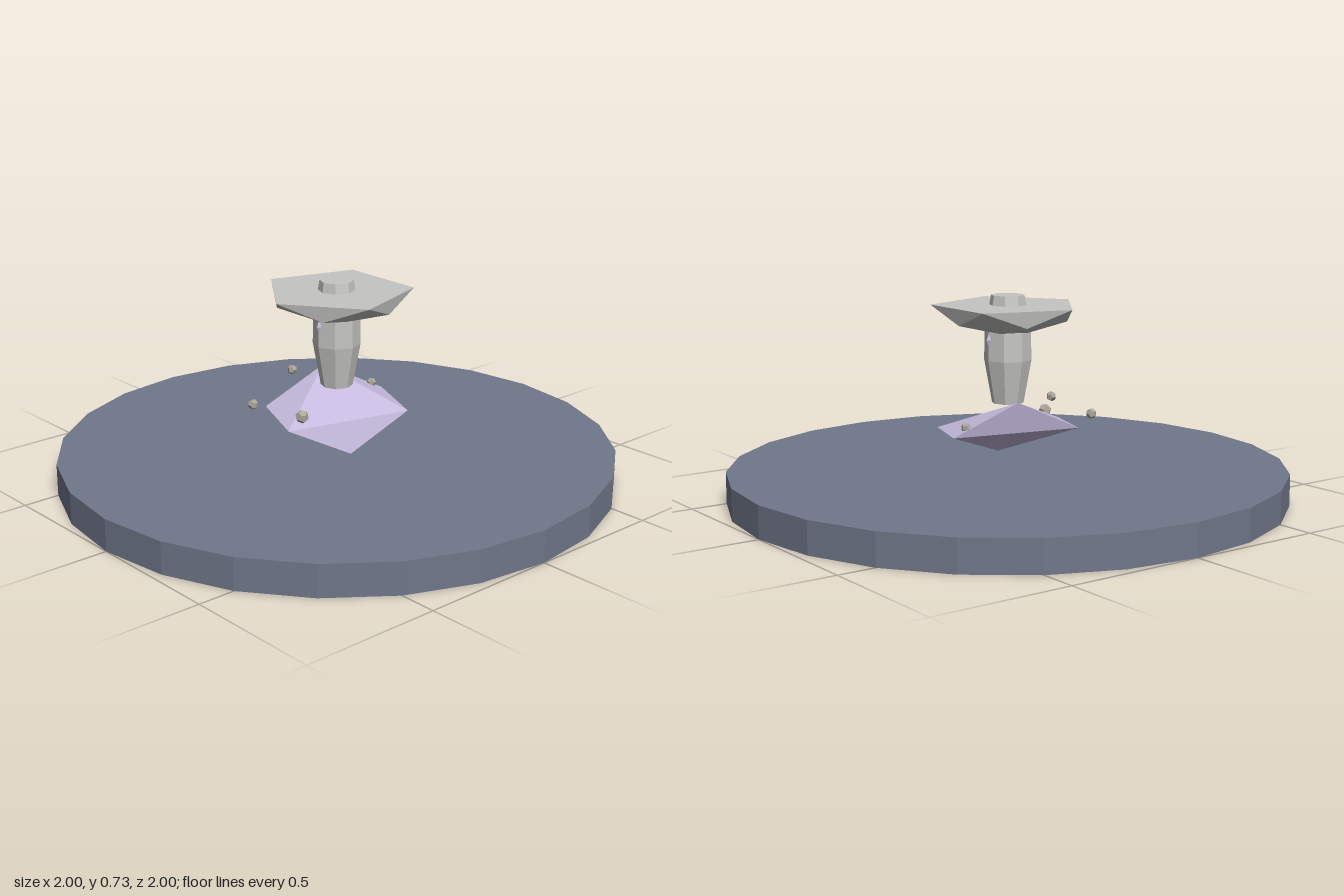
import * as THREE from 'three';
import { ConvexGeometry } from 'three/addons/geometries/ConvexGeometry.js';

const material = (name, color) => {
  const m = new THREE.MeshStandardMaterial({ color, flatShading: true });
  m.name = name;
  return m;
};

// Points of a horizontal ring; angle 0 is +x
const ring = (sides, radius, y, turn = 0) =>
  Array.from({ length: sides }, (_, i) => {
    const a = turn + (i / sides) * Math.PI * 2;
    return new THREE.Vector3(radius * Math.cos(a), y, radius * Math.sin(a));
  });

export function createModel() {
  const slate = material('slate blue', 0x70778a);
  const stone = material('pale stone', 0xc4c4c2);
  const lilac = material('lilac crystal', 0xc6bbde);
  const pebble = material('pebble grey', 0xa8a496);

  const model = new THREE.Group();
  model.name = 'floatingPedestal';
  const add = (name, geometry, mat, x = 0, y = 0, z = 0) => {
    const mesh = new THREE.Mesh(geometry, mat);
    mesh.name = name;
    mesh.position.set(x, y, z);
    model.add(mesh);
    return mesh;
  };

  // Round ground disc
  add('groundDisc', new THREE.CylinderGeometry(1, 1, 0.115, 24), slate, 0, 0.0575, 0);

  // Tilted crystal: a skewed octahedron made of three opposite corner pairs
  const centre = new THREE.Vector3(0, 0.253, 0);
  const corners = [];
  for (const [x, y, z] of [[0.275, 0.003, -0.06], [0.06, 0.117, -0.143], [0.185, -0.005, 0.175]]) {
    const arm = new THREE.Vector3(x, y, z);
    corners.push(centre.clone().add(arm), centre.clone().sub(arm));
  }
  add('crystal', new ConvexGeometry(corners), lilac);

  // Eight-sided column, bulging in the middle and poking through the slab
  const profile = [[0, 0.345], [0.057, 0.345], [0.085, 0.5], [0.083, 0.6], [0.066, 0.695], [0.06, 0.73], [0, 0.73]];
  add('column', new THREE.LatheGeometry(profile.map(([r, y]) => new THREE.Vector2(r, y)), 8), stone);

  // Five-sided slab with a faceted underside
  add('slab', new ConvexGeometry([
    ...ring(5, 0.273, 0.695, Math.PI),
    ...ring(5, 0.21, 0.635),
    ...ring(5, 0.09, 0.602, Math.PI),
  ]), stone);

  // Small crystal slivers on the sides of the column
  for (const side of [-1, 1]) {
    const sliver = add('sliver', new THREE.OctahedronGeometry(1), lilac, side * 0.08, 0.575, 0);
    sliver.scale.set(0.012, 0.03, 0.01);
  }

  // Hovering pebbles
  const pebbles = [
    [-0.27, 0.295, -0.14, 0.019], [-0.205, 0.285, 0.05, 0.024],
    [-0.08, 0.38, -0.15, 0.018], [0.22, 0.287, -0.055, 0.017],
  ];
  pebbles.forEach(([x, y, z, r], i) => {
    add('pebble', new THREE.DodecahedronGeometry(r), pebble, x, y, z).rotation.set(i, i * 2, i * 0.5);
  });

  return model;
}
